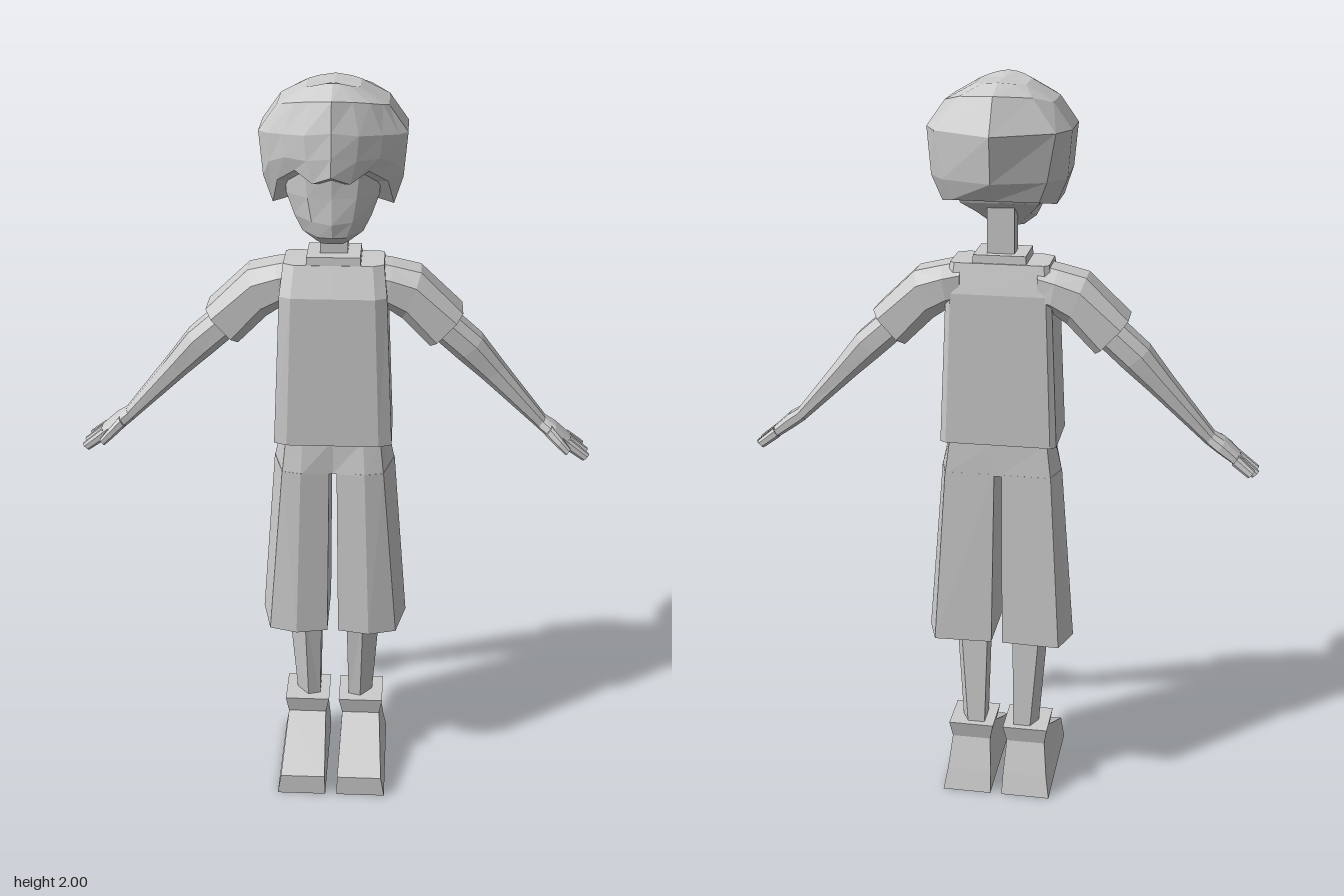
import * as THREE from 'three';

const material = new THREE.MeshStandardMaterial({ color: 0xcccccc, flatShading: true });
material.name = 'light grey';

// Skins a stack of rings of [x, y, z] points, capped at both ends; side -1 mirrors it
function loft(name, rings, side = 1) {
  const n = rings[0].length;
  const V = (p) => new THREE.Vector3(p[0] * side, p[1], p[2]);
  const loops = rings.map((r) => r.map(V));
  const tris = [];
  for (let k = 0; k + 1 < loops.length; k++) {
    for (let i = 0; i < n; i++) {
      const j = (i + 1) % n, a = loops[k], b = loops[k + 1];
      tris.push([a[i], a[j], b[j]], [a[i], b[j], b[i]]);
    }
  }
  const cap = (loop, flip) => {
    const c = new THREE.Vector3();
    loop.forEach((p) => c.addScaledVector(p, 1 / n));
    for (let i = 0; i < n; i++) {
      const p = loop[i], q = loop[(i + 1) % n];
      tris.push(flip ? [c, q, p] : [c, p, q]);
    }
  };
  cap(loops[0], true);
  cap(loops[loops.length - 1], false);
  // Turn the faces outward, whichever way the rings run
  let volume = 0;
  const cross = new THREE.Vector3();
  for (const [a, b, c] of tris) volume += a.dot(cross.crossVectors(b, c));
  if (volume < 0) tris.forEach((t) => t.reverse());
  const geometry = new THREE.BufferGeometry().setFromPoints(tris.flat());
  geometry.computeVertexNormals();
  const mesh = new THREE.Mesh(geometry, material);
  mesh.name = name;
  return mesh;
}

// Full ring from the points of its +x half, front centre first, back centre last
const whole = (half) => [...half, ...half.slice(1, -1).reverse().map(([x, y, z]) => [-x, y, z])];
// Level ring from [x, z] pairs
const level = (y, pts) => pts.map(([x, z]) => [x, y, z]);
// Four-cornered level ring
const rect = (y, x0, x1, z0, z1) => level(y, [[x0, z1], [x1, z1], [x1, z0], [x0, z0]]);
// Eight-sided ring across a limb, between an upper and a lower point
function across(x1, y1, x2, y2, z, w, c = 0.5) {
  const pts = [[1, c], [c, 1], [-c, 1], [-1, c], [-1, -c], [-c, -1], [c, -1], [1, -c]];
  return pts.map(([u, v]) => [
    (x1 + x2) / 2 + (u * (x1 - x2)) / 2, (y1 + y2) / 2 + (u * (y1 - y2)) / 2, z + v * w]);
}

export function createModel() {
  const group = new THREE.Group();

  // Hair, from the scalloped lower edge to the crown
  group.add(loft('hair', [
    [[0, 1.795, 0.175], [0.045, 1.775, 0.155], [0.09, 1.8, 0.125], [0.135, 1.765, 0.085],
      [0.15, 1.7, 0.05], [0.145, 1.695, -0.06], [0.11, 1.71, -0.125], [0, 1.715, -0.15]],
    [[0, 1.84, 0.172], [0.06, 1.83, 0.152], [0.115, 1.83, 0.12], [0.155, 1.81, 0.085],
      [0.172, 1.77, 0.06], [0.172, 1.76, -0.065], [0.13, 1.762, -0.135], [0, 1.765, -0.195]],
    [[0, 1.9, 0.165], [0.065, 1.89, 0.148], [0.12, 1.885, 0.115], [0.16, 1.88, 0.085],
      [0.182, 1.88, 0.06], [0.182, 1.88, -0.065], [0.15, 1.88, -0.13], [0, 1.88, -0.21]],
    [[0, 1.97, 0.145], [0.05, 1.965, 0.125], [0.09, 1.958, 0.105], [0.12, 1.95, 0.08],
      [0.135, 1.945, 0.06], [0.135, 1.945, -0.065], [0.09, 1.96, -0.11], [0, 1.968, -0.155]],
    [[0, 2, 0.085], [0.02, 1.998, 0.08], [0.04, 1.993, 0.075], [0.055, 1.988, 0.065],
      [0.065, 1.985, 0.05], [0.065, 1.983, -0.05], [0.04, 1.986, -0.07], [0, 1.99, -0.08]],
  ].map(whole)));

  // Face, with the jaw rising towards the back
  group.add(loft('face', [
    [[0, 1.605, 0.09], [0.025, 1.605, 0.088], [0.042, 1.61, 0.075], [0.04, 1.625, 0.04], [0, 1.625, 0.04]],
    [[0, 1.63, 0.125], [0.035, 1.63, 0.118], [0.075, 1.635, 0.075], [0.07, 1.655, 0], [0, 1.655, 0]],
    [[0, 1.665, 0.132], [0.05, 1.67, 0.12], [0.095, 1.675, 0.075], [0.1, 1.69, -0.06], [0, 1.695, -0.08]],
    [[0, 1.73, 0.128], [0.06, 1.73, 0.118], [0.115, 1.73, 0.07], [0.115, 1.74, -0.08], [0, 1.74, -0.1]],
    [[0, 1.83, 0.13], [0.07, 1.83, 0.115], [0.12, 1.83, 0.07], [0.12, 1.83, -0.08], [0, 1.83, -0.1]],
  ].map(whole)));

  // Neck and collar
  group.add(loft('neck', [rect(1.53, -0.035, 0.035, -0.04, 0.02), rect(1.75, -0.035, 0.035, -0.04, 0.02)]));
  group.add(loft('collar', [rect(1.525, -0.07, 0.07, -0.065, 0.06), rect(1.558, -0.068, 0.068, -0.062, 0.057)]));

  // Shirt body
  const shirt = (y, x, front, back) =>
    whole(level(y, [[0, front], [x * 0.78, front], [x, front - 0.015], [x, back + 0.01], [x * 0.9, back], [0, back]]));
  group.add(loft('shirt', [
    shirt(1.055, 0.155, 0.103, -0.095),
    shirt(1.46, 0.137, 0.094, -0.088),
    shirt(1.537, 0.128, 0.06, -0.068),
  ]));

  // Hips of the shorts
  const hipTop = [[0, 0.08], [0.08, 0.085], [0.125, 0.075], [0.142, -0.02], [0.13, -0.085], [0, -0.085]];
  const hipLow = [[0, 0.085], [0.085, 0.1], [0.135, 0.088], [0.163, -0.02], [0.142, -0.093], [0, -0.09]];
  group.add(loft('hips', [whole(level(0.965, hipLow)), whole(level(1.06, hipTop))]));

  for (const side of [1, -1]) {
    const add = (name, rings) => group.add(loft(name, rings, side));

    // Wide leg of the shorts
    add('shortsLeg', [
      level(0.48, [[0.015, 0.095], [0.1, 0.112], [0.175, 0.09], [0.202, -0.03], [0.172, -0.118], [0.015, -0.112]]),
      level(0.97, [[0.01, 0.085], [0.085, 0.1], [0.135, 0.088], [0.163, -0.02], [0.142, -0.093], [0.01, -0.09]]),
    ]);

    // Lower leg
    const shin = (y, x0, x1, z0, z1) => {
      const m = (z0 + z1) / 2;
      return level(y, [[x0, z1 - 0.01], [(x0 + x1) / 2, z1], [x1, m], [x1 - 0.02, z0], [x0, z0]]);
    };
    add('lowerLeg', [shin(0.18, 0.042, 0.108, -0.077, 0.004), shin(0.49, 0.035, 0.13, -0.056, 0.03)]);

    // Boot with a flared cuff
    add('boot', [
      rect(0, 0.016, 0.152, -0.13, 0.21),
      rect(0.06, 0.018, 0.142, -0.113, 0.21),
      rect(0.152, 0.024, 0.132, -0.085, 0.022),
      rect(0.2, 0.014, 0.14, -0.095, 0.03),
    ]);

    // Sleeve from the shoulder to the cuff
    add('sleeve', [
      across(0.1, 1.535, 0.1, 1.42, -0.015, 0.068),
      across(0.15, 1.525, 0.13, 1.415, -0.018, 0.074),
      across(0.222, 1.508, 0.175, 1.385, -0.02, 0.075),
      across(0.332, 1.402, 0.25, 1.312, -0.02, 0.075, 0.6),
    ]);

    // Arm to the wrist
    add('arm', [
      across(0.3, 1.4, 0.25, 1.335, -0.02, 0.055),
      across(0.385, 1.325, 0.322, 1.27, -0.022, 0.052),
      across(0.445, 1.247, 0.388, 1.212, -0.022, 0.042),
      across(0.562, 1.1, 0.545, 1.068, -0.018, 0.026),
    ]);

    // Hand: palm, three fingers and thumb
    add('palm', [
      across(0.558, 1.102, 0.54, 1.072, -0.018, 0.026),
      across(0.59, 1.082, 0.57, 1.05, -0.012, 0.04),
      across(0.632, 1.044, 0.615, 1.02, -0.016, 0.036),
    ]);
    for (const [z, tip, reach] of [[0.006, 0.008, 1], [-0.022, -0.027, 1], [-0.042, -0.052, 0.8]]) {
      add('finger', [
        across(0.628, 1.046, 0.612, 1.022, z, 0.013),
        across(0.628 + 0.054 * reach, 1.046 - 0.044 * reach, 0.612 + 0.054 * reach, 1.022 - 0.037 * reach, tip, 0.011),
      ]);
    }
    add('thumb', [
      across(0.578, 1.085, 0.562, 1.06, 0.012, 0.016),
      across(0.605, 1.058, 0.592, 1.036, 0.032, 0.014),
      across(0.628, 1.032, 0.616, 1.016, 0.042, 0.009),
    ]);
  }
  return group;
}
